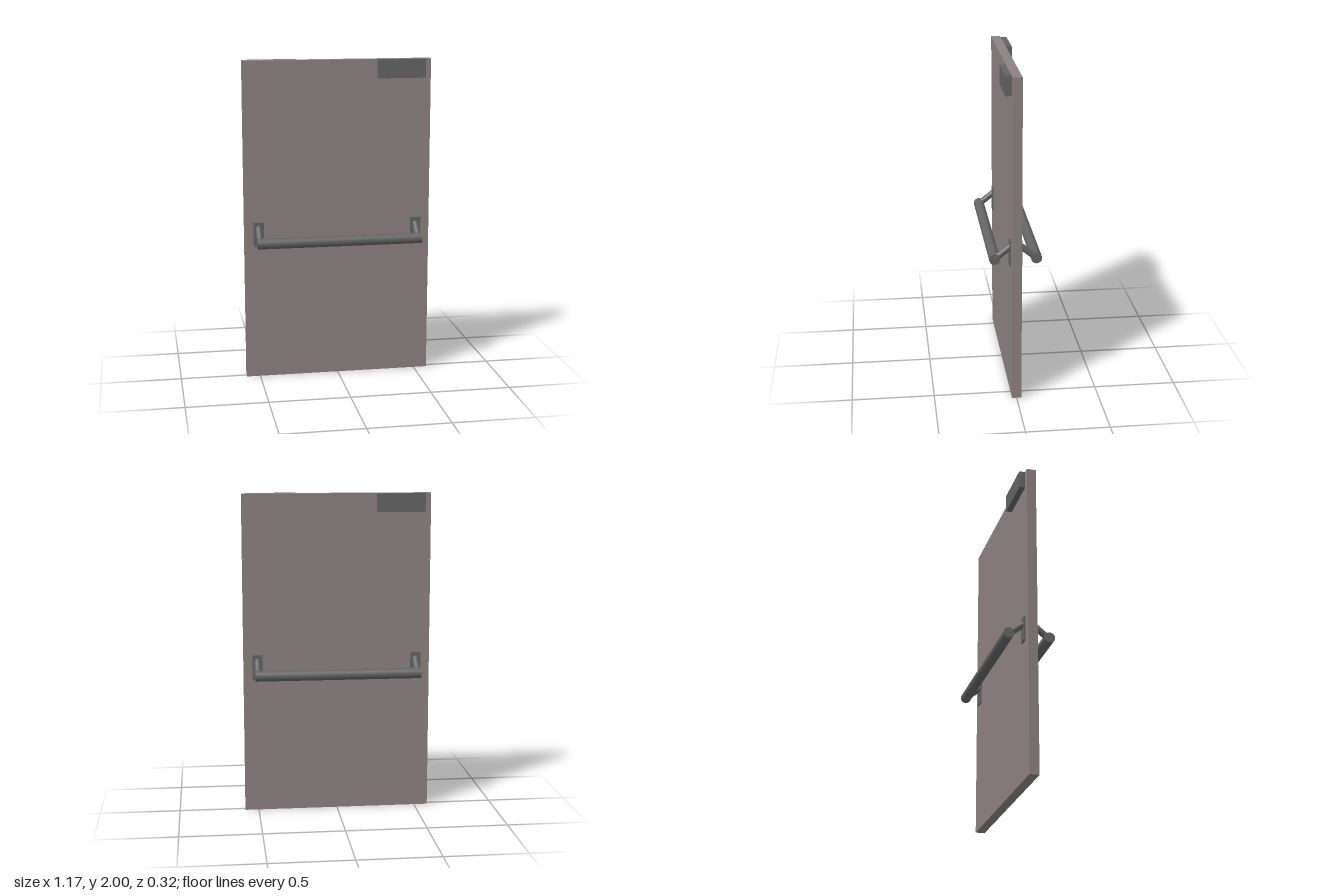
import * as THREE from 'three';

export function createModel() {
  const model = new THREE.Group();
  model.name = 'door';
  const panelMat = new THREE.MeshStandardMaterial({ color: 0x8c8280 });
  const metalMat = new THREE.MeshStandardMaterial({ color: 0x646464 });

  const halfDepth = 0.029;

  function add(parent, name, geometry, material, x, y, z) {
    const mesh = new THREE.Mesh(geometry, material);
    mesh.name = name;
    mesh.position.set(x, y, z);
    parent.add(mesh);
    return mesh;
  }

  // Round rod between two points
  function addRod(parent, name, from, to, radius) {
    const dir = to.clone().sub(from);
    const mid = from.clone().add(to).multiplyScalar(0.5);
    const rod = add(parent, name, new THREE.CylinderGeometry(radius, radius, dir.length(), 32),
      metalMat, mid.x, mid.y, mid.z);
    rod.quaternion.setFromUnitVectors(new THREE.Vector3(0, 1, 0), dir.normalize());
  }

  // Door leaf
  add(model, 'doorPanel', new THREE.BoxGeometry(1.17, 2, halfDepth * 2), panelMat, 0, 1, 0);

  // Hardware, repeated on both faces by a half turn
  for (const side of ['front', 'back']) {
    const hardware = new THREE.Group();
    hardware.name = side + 'Hardware';
    if (side === 'back') hardware.rotation.y = Math.PI;
    model.add(hardware);

    // Closer box in the upper corner
    add(hardware, 'doorCloser', new THREE.BoxGeometry(0.298, 0.115, 0.037), metalMat,
      0.396, 1.9425, halfDepth + 0.0185);

    // Horizontal push bar
    addRod(hardware, 'pushBar', new THREE.Vector3(-0.517, 0.887, 0.125),
      new THREE.Vector3(0.517, 0.887, 0.125), 0.033);

    // Mounting plates and slanted arms
    for (const x of [-0.498, 0.498]) {
      add(hardware, 'mountingPlate', new THREE.BoxGeometry(0.064, 0.155, 0.009), metalMat,
        x, 0.925, halfDepth + 0.0045);
      addRod(hardware, 'barArm', new THREE.Vector3(x, 0.973, 0.016),
        new THREE.Vector3(x, 0.887, 0.125), 0.02);
    }
  }
  return model;
}
